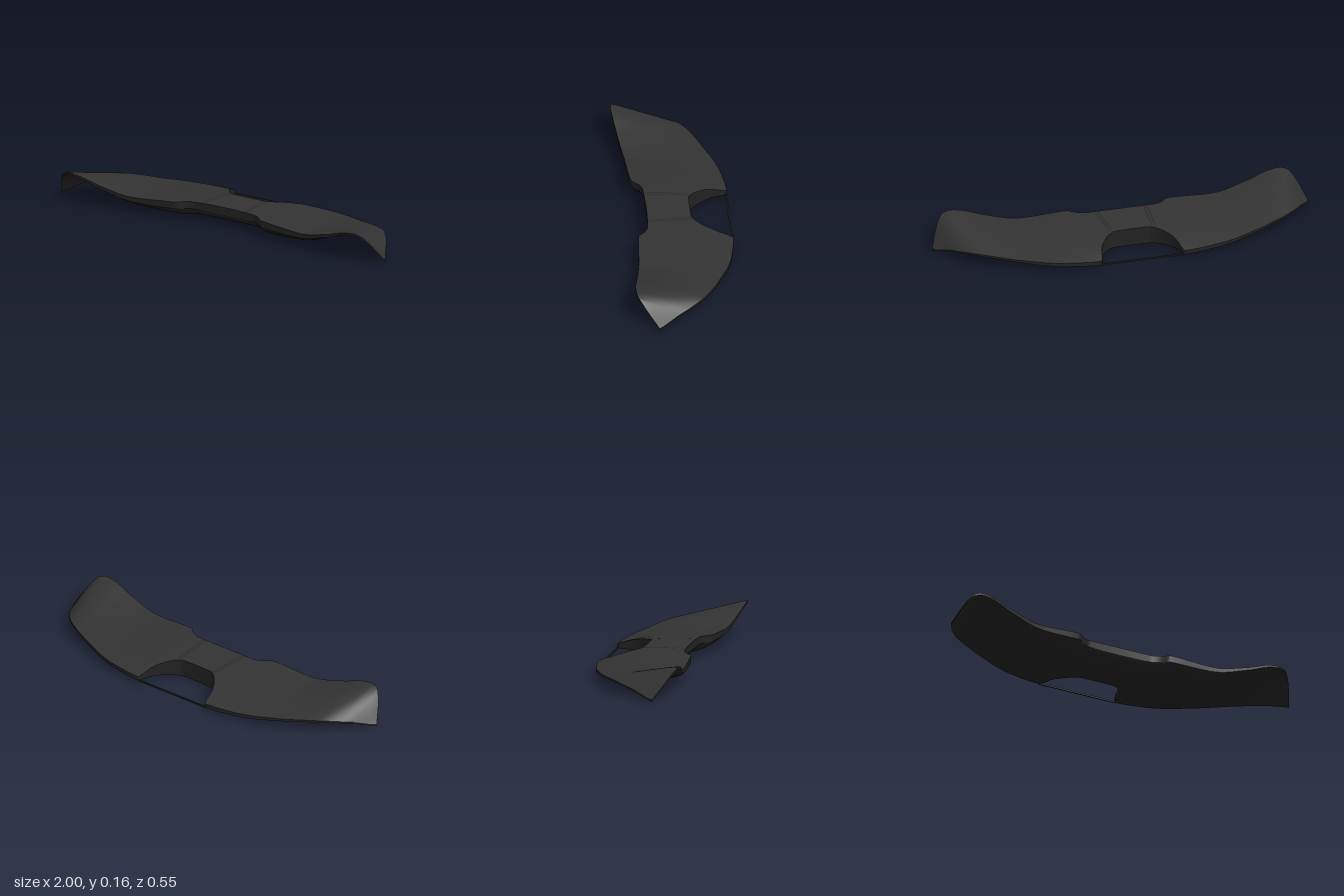
import * as THREE from 'three';

// Smooth monotone interpolation through [x, y] points
function curve(pts) {
  const n = pts.length;
  const d = [];
  for (let i = 0; i < n - 1; i++) d.push((pts[i + 1][1] - pts[i][1]) / (pts[i + 1][0] - pts[i][0]));
  const m = pts.map((_, i) => {
    if (i === 0) return 0;
    if (i === n - 1) return d[n - 2];
    return d[i - 1] * d[i] <= 0 ? 0 : (2 * d[i - 1] * d[i]) / (d[i - 1] + d[i]);
  });
  return (x) => {
    x = Math.min(Math.abs(x), pts[n - 1][0]);
    let i = 0;
    while (i < n - 2 && x > pts[i + 1][0]) i++;
    const h = pts[i + 1][0] - pts[i][0], s = (x - pts[i][0]) / h, r = 1 - s;
    return pts[i][1] * (1 + 2 * s) * r * r + m[i] * h * s * r * r
      + pts[i + 1][1] * s * s * (3 - 2 * s) - m[i + 1] * h * s * s * r;
  };
}

// Plan outline: front edge, cut back edge (with opening) and uncut back edge
const zFront = curve([[0, 0.155], [0.18, 0.16], [0.22, 0.175], [0.25, 0.2], [0.265, 0.213], [0.5, 0.23],
  [0.7, 0.255], [0.86, 0.272], [0.91, 0.266], [0.95, 0.235], [1, 0.16]]);
const zCut = curve([[0, -0.068], [0.09, -0.07], [0.12, -0.085], [0.17, -0.14], [0.2, -0.2], [0.21, -0.25],
  [0.22, -0.275], [0.4, -0.255], [0.5, -0.23], [0.6, -0.19], [0.7, -0.15], [0.82, -0.085], [0.9, 0], [0.95, 0.08], [1, 0.16]]);
const zBack = (x) => (Math.abs(x) < 0.22 ? -0.275 : zCut(x));

// Heights across the span
const yFront = curve([[0, 0.112], [0.26, 0.107], [0.52, 0.091], [0.7, 0.125], [0.82, 0.16], [0.88, 0.167],
  [0.92, 0.155], [0.95, 0.12], [1, 0.015]]);
const yBack = curve([[0, 0.05], [0.22, 0.05], [0.4, 0.053], [0.6, 0.063], [0.82, 0.08], [0.9, 0.066], [1, 0.015]]);
const falloff = curve([[0, 3.2], [0.5, 2.8], [0.7, 1.6], [0.9, 1.2], [1, 1]]);
const lip = curve([[0, 0.04], [0.3, 0.035], [0.6, 0.02], [0.8, 0.012], [1, 0.008]]);
const rim = curve([[0, 0.024], [0.4, 0.02], [0.7, 0.012], [1, 0.008]]);
const belly = curve([[0, 0.068], [0.3, 0.064], [0.45, 0.05], [0.58, 0.033], [0.7, 0.01], [0.8, 0], [1, 0]]);

function depth(x, z) {
  const span = zFront(x) - zBack(x);
  return span < 1e-5 ? 0 : THREE.MathUtils.clamp((zFront(x) - z) / span, 0, 1);
}
function topY(x, z) {
  return THREE.MathUtils.lerp(yFront(x), yBack(x), Math.pow(depth(x, z), falloff(x)));
}
function bottomY(x, z) {
  const t = depth(x, z);
  const thick = THREE.MathUtils.lerp(lip(x), rim(x), t) + belly(x) * Math.sin(Math.PI * Math.pow(t, 0.7));
  return Math.max(0, topY(x, z) - thick);
}

// Grid surface from f(u, v) -> [x, y, z], facing u cross v
function surface(f, nu, nv) {
  const pos = [], index = [];
  for (let j = 0; j <= nv; j++) for (let i = 0; i <= nu; i++) pos.push(...f(i / nu, j / nv));
  for (let j = 0; j < nv; j++) {
    for (let i = 0; i < nu; i++) {
      const a = j * (nu + 1) + i, b = a + 1, d = a + nu + 1, c = d + 1;
      index.push(a, b, c, a, c, d);
    }
  }
  const g = new THREE.BufferGeometry();
  g.setAttribute('position', new THREE.Float32BufferAttribute(pos, 3));
  g.setIndex(index);
  g.computeVertexNormals();
  return g;
}

export function createModel() {
  const group = new THREE.Group();
  const panel = new THREE.MeshStandardMaterial({ color: 0x333333 });
  panel.name = 'charcoal panel';
  const trim = new THREE.MeshStandardMaterial({ color: 0x222222 });
  trim.name = 'dark trim';
  const add = (name, geometry, material) => {
    const mesh = new THREE.Mesh(geometry, material);
    mesh.name = name;
    group.add(mesh);
    return mesh;
  };

  const lerp = THREE.MathUtils.lerp;
  const NX = 200, NZ = 28;
  const skin = (height, dir) => (u, v) => {
    const x = dir * (2 * u - 1), z = lerp(zFront(x), zCut(x), v);
    return [x, height(x, z), z];
  };
  const wall = (edge, dir) => (u, v) => {
    const x = dir * (2 * u - 1), z = edge(x);
    return [x, lerp(bottomY(x, z), topY(x, z), v), z];
  };

  // Upper and lower shells
  add('upperShell', surface(skin(topY, 1), NX, NZ), panel);
  add('lowerShell', surface(skin(bottomY, -1), NX, NZ), trim);

  // Edge faces, the back one wrapping round the opening
  add('frontLip', surface(wall(zFront, 1), NX, 1), trim);
  add('backRim', surface(wall(zCut, -1), NX, 1), trim);

  // Thin bar closing the opening at the back
  const bar = add('backBar', new THREE.BoxGeometry(0.45, 0.008, 0.008), trim);
  bar.position.set(0, 0.028, -0.271);

  // Paired seams either side of the centre panel
  for (const side of [-1, 1]) {
    for (const offset of [0, 0.016]) {
      const seam = (u, v) => {
        const z = lerp(0.152, -0.078, v);
        const x = side * (lerp(0.122, 0.105, v) + offset) + (u - 0.5) * 0.004;
        const zz = Math.max(z, zCut(x));
        return [x, topY(x, zz) + 0.0012, zz];
      };
      add(side > 0 ? 'leftSeam' : 'rightSeam', surface(seam, 1, 24), trim);
    }
  }
  return group;
}
